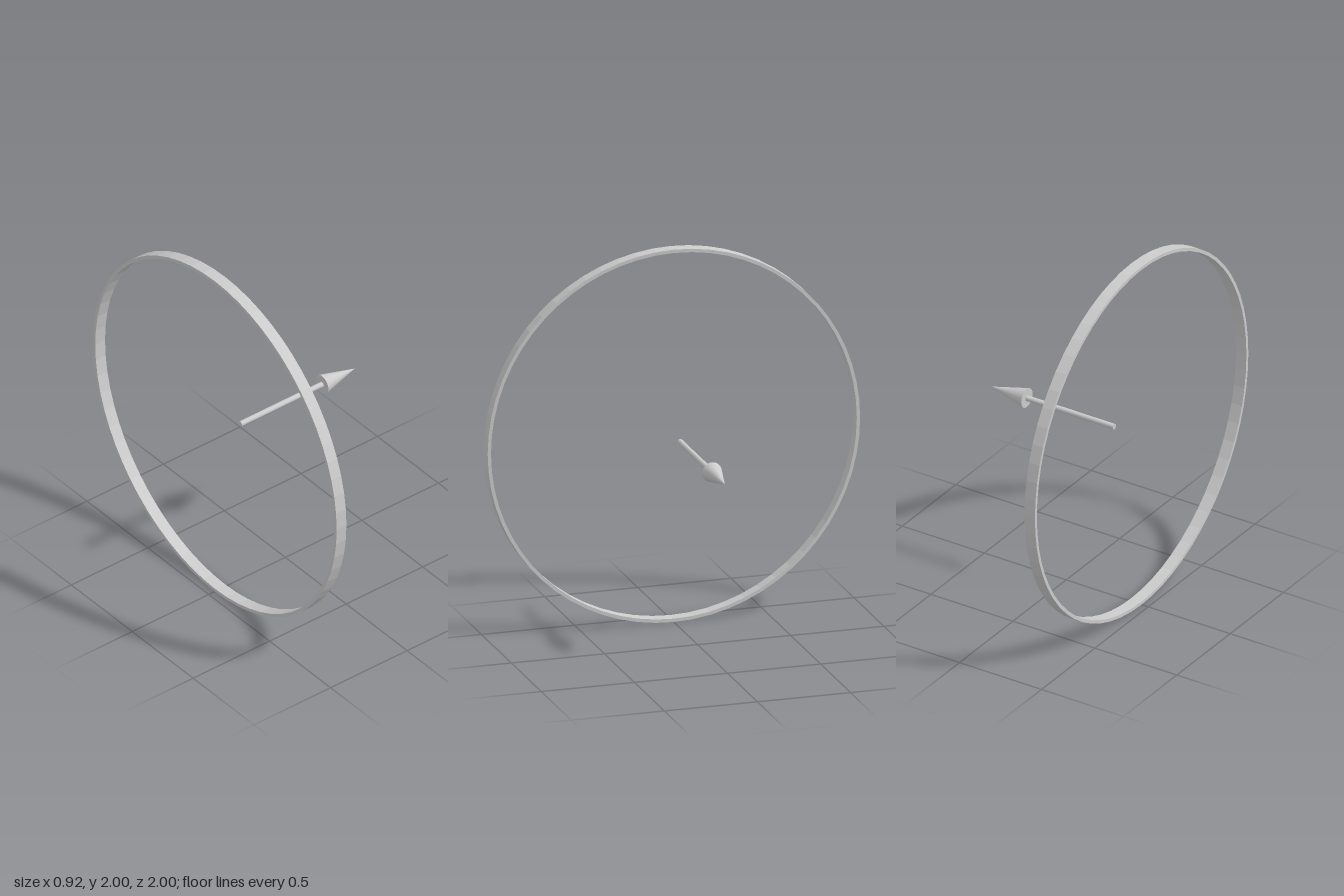
import * as THREE from 'three';

export function createModel() {
  const model = new THREE.Group();
  const smooth = new THREE.MeshStandardMaterial({ color: 0xcccccc });
  const faceted = new THREE.MeshStandardMaterial({ color: 0xcccccc, flatShading: true });

  // Everything shares one axis along x at y = 1
  const axis = new THREE.Group();
  axis.name = 'axis';
  axis.rotation.z = -Math.PI / 2;
  axis.position.y = 1;
  model.add(axis);

  const add = (name, geometry, material, along = 0) => {
    const mesh = new THREE.Mesh(geometry, material);
    mesh.name = name;
    mesh.position.y = along;
    axis.add(mesh);
  };

  // Thin flat hoop with a rectangular section
  const inner = 0.982, outer = 1, back = -0.46, front = -0.396;
  const section = [[inner, back], [outer, back], [outer, front], [inner, front], [inner, back]]
    .map(([r, h]) => new THREE.Vector2(r, h));
  add('ring', new THREE.LatheGeometry(section, 64), faceted);

  // Arrow pointing away from the hoop
  const tail = -0.294, neck = 0.24, tip = 0.455;
  add('arrowShaft', new THREE.CylinderGeometry(0.015, 0.015, neck - tail, 24), smooth, (tail + neck) / 2);
  add('arrowHead', new THREE.ConeGeometry(0.053, tip - neck, 32), smooth, (neck + tip) / 2);

  return model;
}
